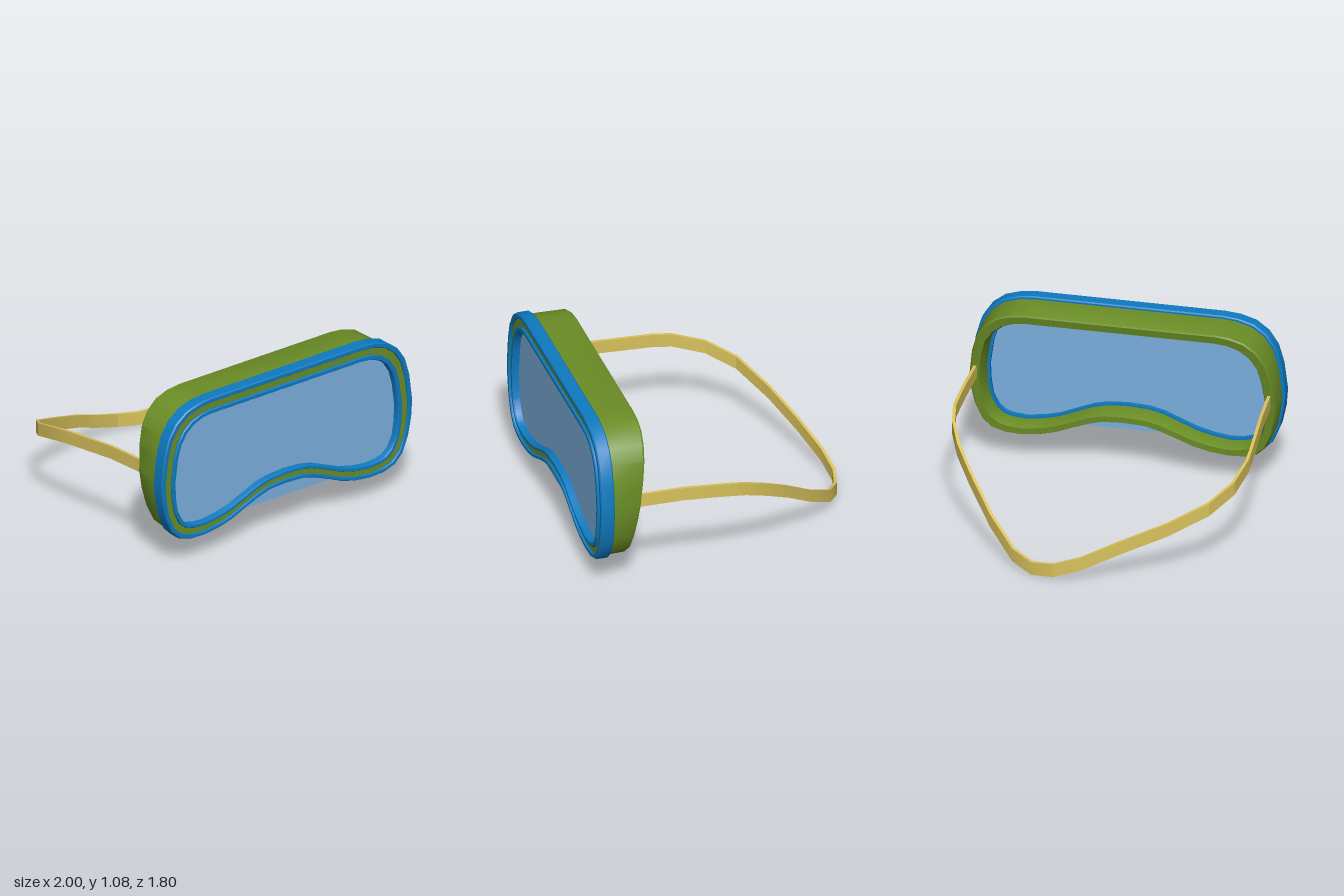
import * as THREE from 'three';
import { toCreasedNormals } from 'three/addons/utils/BufferGeometryUtils.js';

// Half outlines (x, y) from top centre to bottom centre
const OUTER = [[0, 1.09], [0.6, 1.09], [0.7, 1.08], [0.8, 1.05], [0.88, 0.99], [0.94, 0.9], [0.975, 0.78],
  [0.998, 0.6], [0.99, 0.49], [0.965, 0.37], [0.92, 0.26], [0.86, 0.2], [0.77, 0.17], [0.66, 0.165],
  [0.54, 0.18], [0.44, 0.207], [0.34, 0.25], [0.24, 0.29], [0.14, 0.32], [0, 0.328]];
const INNER = [[0, 0.98], [0.6, 0.98], [0.67, 0.972], [0.74, 0.945], [0.795, 0.9], [0.84, 0.83], [0.865, 0.74],
  [0.885, 0.59], [0.88, 0.48], [0.865, 0.385], [0.825, 0.31], [0.78, 0.275], [0.73, 0.262], [0.65, 0.255],
  [0.54, 0.27], [0.44, 0.295], [0.33, 0.34], [0.22, 0.385], [0.13, 0.405], [0, 0.413]];

// Strap centre line: x, y, z
const STRAP = [[-0.935, 0.622, 0.68], [-0.955, 0.62, 0.35], [-0.985, 0.585, -0.05], [-0.988, 0.565, -0.17],
  [-0.948, 0.505, -0.375], [-0.83, 0.428, -0.545], [-0.6, 0.325, -0.68], [-0.32, 0.22, -0.79],
  [-0.09, 0.122, -0.87], [0.08, 0.07, -0.892], [0.22, 0.054, -0.86], [0.36, 0.092, -0.775],
  [0.54, 0.222, -0.6], [0.72, 0.39, -0.39], [0.84, 0.5, -0.22], [0.91, 0.572, -0.06],
  [0.94, 0.605, 0.1], [0.938, 0.622, 0.35], [0.935, 0.622, 0.68]];

// Half outline at fraction t between the outer and inner edge
const halfAt = (t) => OUTER.map(([x, y], i) => [x + (INNER[i][0] - x) * t, y + (INNER[i][1] - y) * t]);
const mirrored = (half) => half.slice(1, -1).reverse().map(([x, y]) => [-x, y]);
const outlineAt = (t) => [...halfAt(t), ...mirrored(halfAt(t))];

// Skin between closed cross-sections
function loft(sections, closed, crease) {
  const n = sections[0].length, index = [];
  const count = closed ? sections.length : sections.length - 1;
  for (let i = 0; i < count; i++) {
    const k = (i + 1) % sections.length;
    for (let j = 0; j < n; j++) {
      const m = (j + 1) % n;
      const a = i * n + j, b = i * n + m, c = k * n + m, d = k * n + j;
      index.push(a, b, c, a, c, d);
    }
  }
  const geo = new THREE.BufferGeometry();
  geo.setAttribute('position', new THREE.Float32BufferAttribute(sections.flat(2), 3));
  geo.setIndex(index);
  return toCreasedNormals(geo, crease);
}

// Sweep a (t, z) profile around the mask; z may depend on y
function frameRing(profile) {
  const loops = profile.map(([t, z]) =>
    outlineAt(t).map(([x, y]) => [x, y, typeof z === 'function' ? z(y) : z]));
  return loft(loops[0].map((_, i) => loops.map((loop) => loop[i])), true, 0.6);
}

export function createModel() {
  const group = new THREE.Group();
  const blue = new THREE.MeshStandardMaterial({ color: 0x0e7ac0 });
  blue.name = 'frame blue';
  const green = new THREE.MeshStandardMaterial({ color: 0x6b8e26 });
  green.name = 'skirt green';
  const glass = new THREE.MeshStandardMaterial({ color: 0x7bafde });
  glass.name = 'lens blue';
  const yellow = new THREE.MeshStandardMaterial({ color: 0xd9c25c });
  yellow.name = 'strap yellow';
  const add = (name, geo, mat) => {
    const mesh = new THREE.Mesh(geo, mat);
    mesh.name = name;
    group.add(mesh);
  };

  // Outer and inner frame rims with softened edges
  add('outerRim', frameRing([[0.06, 0.81], [0, 0.818], [0, 0.892], [0.06, 0.9], [0.26, 0.9],
    [0.3, 0.894], [0.3, 0.81]]), blue);
  add('innerRim', frameRing([[0.72, 0.815], [0.72, 0.894], [0.76, 0.9], [0.95, 0.9],
    [1, 0.892], [1, 0.815]]), blue);

  // Soft skirt, cut by a slanted plane at the back
  const back = (lift) => (y) => 0.567 + (1.07 - y) * 0.147 + lift;
  add('skirt', frameRing([[0.27, back(0)], [0.2, back(0.012)], [0.16, 0.82], [0.22, 0.885],
    [0.78, 0.885], [0.84, 0.82], [0.82, back(0.03)], [0.72, back(0.004)]]), green);

  // Lens with a straight lower edge across the nose
  const edge = halfAt(0.5).slice(1, 15);
  const lensShape = new THREE.Shape([...edge, ...edge.slice().reverse().map(([x, y]) => [-x, y])]
    .map(([x, y]) => new THREE.Vector2(x, Math.max(y, 0.22))));
  const lens = new THREE.ExtrudeGeometry(lensShape, { depth: 0.009, bevelEnabled: false });
  lens.translate(0, 0, 0.845);
  add('lens', lens, glass);

  // Flat head strap
  const up = new THREE.Vector3(0, 1, 0), half = 0.043, thick = 0.01;
  const sections = STRAP.map(([x, y, z], i) => {
    const p = STRAP[Math.max(i - 1, 0)], q = STRAP[Math.min(i + 1, STRAP.length - 1)];
    const o = up.clone().cross(new THREE.Vector3(q[0] - p[0], 0, q[2] - p[2])).setLength(thick);
    return [[1, -1], [1, 1], [-1, 1], [-1, -1]].map(([s, h]) => [x + o.x * s, y + h * half, z + o.z * s]);
  });
  add('strap', loft(sections, false, 0.35), yellow);

  return group;
}
